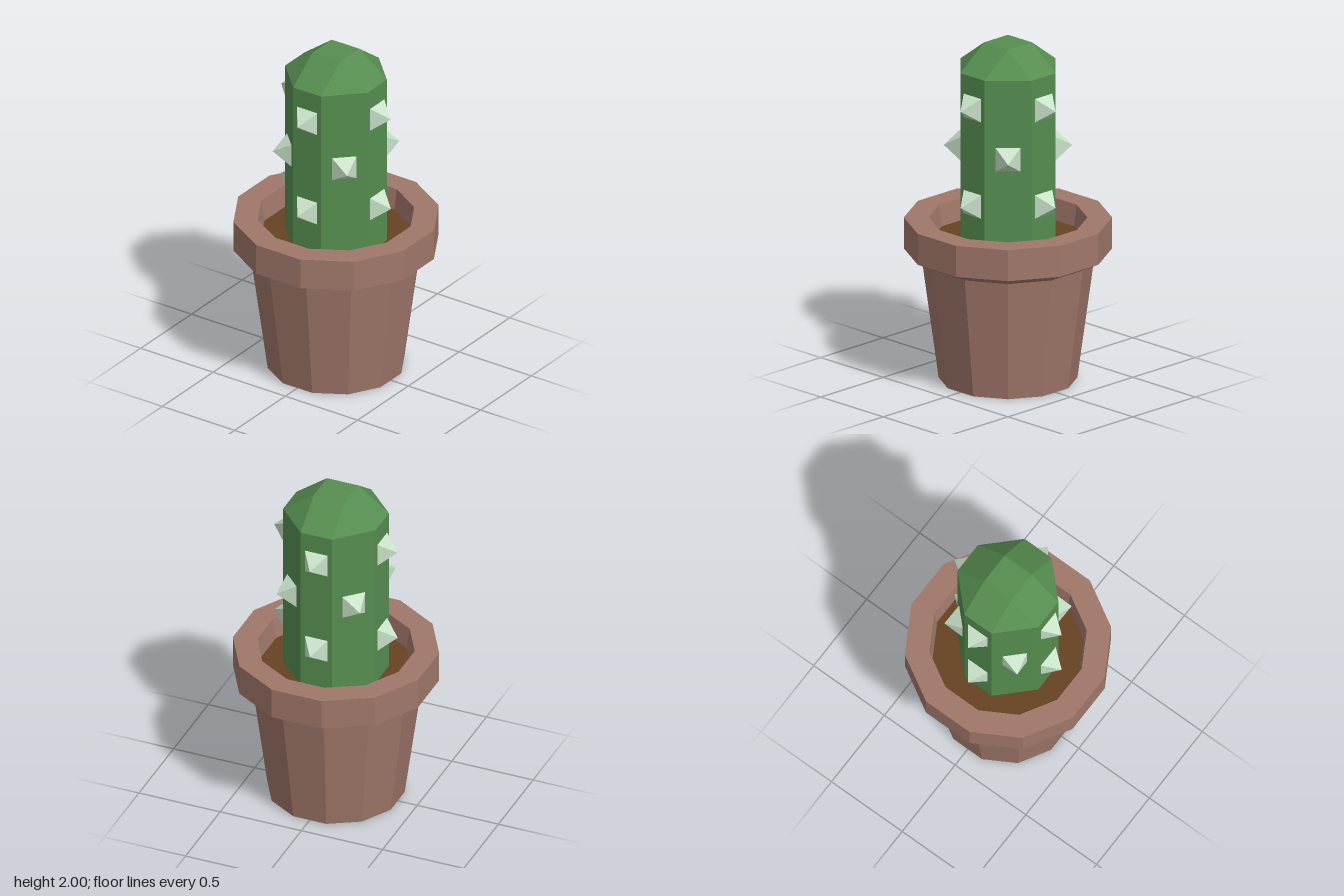
import * as THREE from 'three';
import { ConvexGeometry } from 'three/addons/geometries/ConvexGeometry.js';

const material = (name, color) => {
  const m = new THREE.MeshStandardMaterial({ color, flatShading: true });
  m.name = name;
  return m;
};

export function createModel() {
  const terracotta = material('terracotta', 0xa0776a);
  const earth = material('earth', 0x654321);
  const green = material('cactusGreen', 0x568d50);
  const pale = material('paleGreen', 0xc8e2c8);

  const model = new THREE.Group();
  model.name = 'pottedCactus';
  const add = (name, geometry, mat, parent = model) => {
    const mesh = new THREE.Mesh(geometry, mat);
    mesh.name = name;
    parent.add(mesh);
    return mesh;
  };

  // Twelve-sided pot with a thick rim; radii are measured to the corners
  const sides = 12;
  const soilY = 0.83;
  const profile = [
    [0, 0], [0.393, 0], [0.49, 0.72], [0.59, 0.77],
    [0.59, 0.955], [0.45, 0.955], [0.43, soilY - 0.01],
  ].map(([r, y]) => new THREE.Vector2(r, y));
  add('pot', new THREE.LatheGeometry(profile, sides, Math.PI / sides), terracotta);

  // Soil disc inside the rim
  const soil = add('soil', new THREE.CircleGeometry(0.432, sides, Math.PI / sides), earth);
  soil.rotation.x = -Math.PI / 2;
  soil.position.y = soilY;

  // Cactus body: a square column with cut corners, tapering to a small square top
  const inner = 0.096, outer = 0.285;
  const points = [];
  for (const sx of [-1, 1]) {
    for (const sz of [-1, 1]) {
      for (const y of [soilY - 0.02, 1.86]) {
        points.push(new THREE.Vector3(sx * inner, y, sz * outer));
        points.push(new THREE.Vector3(sx * outer, y, sz * inner));
      }
      points.push(new THREE.Vector3(sx * inner, 2, sz * inner));
    }
  }
  add('cactusBody', new ConvexGeometry(points), green);

  // Spikes: square pyramids pointing along +z, base on the body face
  const spikeGeometry = new THREE.ConeGeometry(0.07 * Math.SQRT2, 0.095, 4)
    .rotateY(Math.PI / 4)
    .translate(0, 0.0475, 0)
    .rotateX(Math.PI / 2);
  const spikes = new THREE.Group();
  spikes.name = 'spikes';
  model.add(spikes);
  const cornerFace = (inner + outer) / Math.SQRT2;
  const rows = [[1.1, 0, outer], [1.388, Math.PI / 4, cornerFace], [1.675, 0, outer]];
  for (const [y, start, distance] of rows) {
    for (let i = 0; i < 4; i++) {
      const angle = start + i * Math.PI / 2;
      const spike = add('spike', spikeGeometry, pale, spikes);
      spike.rotation.y = angle;
      spike.position.set(Math.sin(angle) * distance, y, Math.cos(angle) * distance);
    }
  }

  return model;
}
